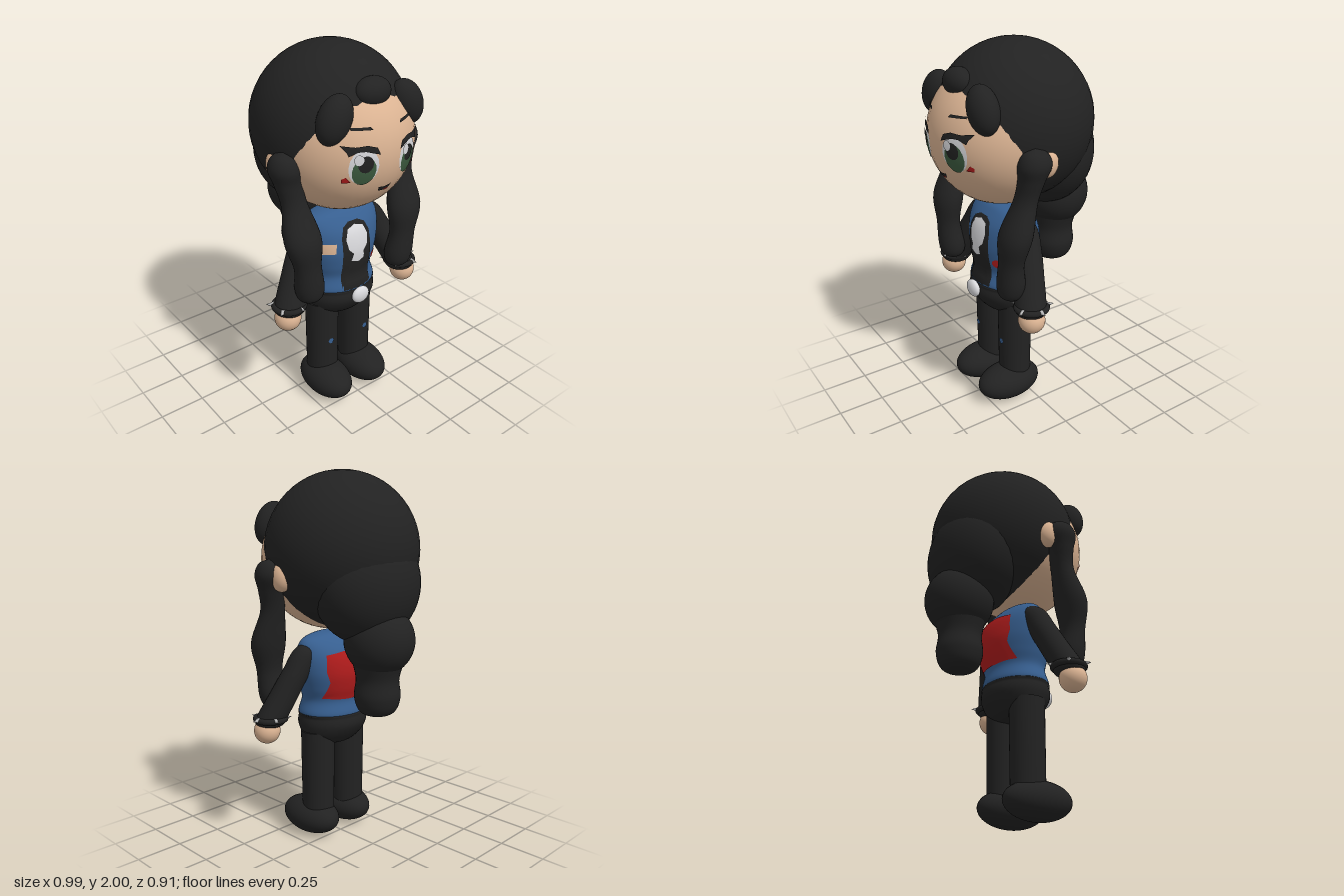
import * as THREE from 'three';

const mat = (name, color) => {
  const m = new THREE.MeshStandardMaterial({ color });
  m.name = name;
  return m;
};

export function createModel() {
  const black = mat('black', 0x222222), skin = mat('skin', 0xddb594), denim = mat('denim blue', 0x375f90);
  const red = mat('red', 0xb01c1c), green = mat('eye green', 0x3d5c40), white = mat('white', 0xd9d9dc);
  const steel = mat('steel', 0xb8b8b8);

  const model = new THREE.Group();
  model.name = 'figure';
  const body = new THREE.Group();
  body.name = 'body';
  body.position.x = -0.01;
  model.add(body);

  const add = (name, geo, material, pos = [0, 0, 0]) => {
    const m = new THREE.Mesh(geo, material);
    m.name = name;
    m.position.set(...pos);
    body.add(m);
    return m;
  };
  const ball = (name, material, pos, rx, ry = rx, rz = rx) => {
    const m = add(name, new THREE.SphereGeometry(1, 40, 28), material, pos);
    m.scale.set(rx, ry, rz);
    return m;
  };

  // Smooth rows [x, y, z, rx, rz], listed from bottom to top
  const smooth = (rows, steps = 40) => {
    const centre = new THREE.CatmullRomCurve3(rows.map(r => new THREE.Vector3(r[0], r[1], r[2])), false, 'catmullrom');
    const size = new THREE.CatmullRomCurve3(rows.map(r => new THREE.Vector3(r[3], r[4], 0)), false, 'catmullrom');
    return Array.from({ length: steps + 1 }, (_, i) => {
      const c = centre.getPoint(i / steps), s = size.getPoint(i / steps);
      return [c.x, c.y, c.z, Math.max(s.x, 0.001), Math.max(s.y, 0.001)];
    });
  };
  // Skin a stack of elliptical sections
  const loft = (rows, n = 32) => {
    const pos = [], idx = [];
    rows.forEach(([x, y, z, rx, rz], i) => {
      for (let j = 0; j < n; j++) {
        const a = (j / n) * Math.PI * 2;
        pos.push(x + rx * Math.cos(a), y, z + rz * Math.sin(a));
        if (i === rows.length - 1) continue;
        const p = i * n + j, q = i * n + ((j + 1) % n);
        idx.push(p, p + n, q, q, p + n, q + n);
      }
    });
    const g = new THREE.BufferGeometry();
    g.setAttribute('position', new THREE.Float32BufferAttribute(pos, 3));
    g.setIndex(idx);
    g.computeVertexNormals();
    return g;
  };

  // Thin painted patch: an outline filled in rings and laid on a surface z(x, y)
  const patch = (name, material, outline, surface, dir = 1) => {
    const edge = [];
    outline.forEach(([x, y], i) => {
      const [u, v] = outline[(i + 1) % outline.length];
      for (let k = 0; k < 4; k++) edge.push([x + (u - x) * k / 4, y + (v - y) * k / 4]);
    });
    const n = edge.length, rings = 8, pos = [], idx = [];
    const cx = edge.reduce((s, p) => s + p[0], 0) / n, cy = edge.reduce((s, p) => s + p[1], 0) / n;
    const area = edge.reduce((s, p, i) => s + p[0] * edge[(i + 1) % n][1] - edge[(i + 1) % n][0] * p[1], 0);
    const tri = (a, b, c) => (area * dir > 0 ? idx.push(a, b, c) : idx.push(a, c, b));
    for (let r = 0; r <= rings; r++) {
      edge.forEach(([x, y], j) => {
        const px = cx + (x - cx) * r / rings, py = cy + (y - cy) * r / rings;
        pos.push(px, py, surface(px, py));
        if (r === rings) return;
        const p = r * n + j, q = r * n + ((j + 1) % n);
        tri(p, p + n, q + n);
        if (r) tri(p, q + n, q);
      });
    }
    const g = new THREE.BufferGeometry();
    g.setAttribute('position', new THREE.Float32BufferAttribute(pos, 3));
    g.setIndex(idx);
    g.computeVertexNormals();
    add(name, g, material);
  };
  const oval = (cx, cy, rx, ry, n = 16) => Array.from({ length: n }, (_, i) => {
    const a = (i / n) * Math.PI * 2;
    return [cx + rx * Math.cos(a), cy + ry * Math.sin(a)];
  });
  const flip = (pts, s) => pts.map(([x, y]) => [x * s, y]);

  // Head and hair
  ball('face', skin, [0, 1.54, 0.08], 0.375);
  ball('hairDome', black, [0, 1.59, 0], 0.41);
  ball('hairBack', black, [0, 1.42, -0.18], 0.315, 0.31, 0.25);
  ball('ponytailTop', black, [0, 1.14, -0.27], 0.185);
  add('ponytailEnd', loft(smooth([
    [0, 0.728, -0.26, 0.001, 0.001], [0, 0.76, -0.26, 0.09, 0.09], [0, 0.84, -0.26, 0.122, 0.122],
    [0, 0.94, -0.26, 0.113, 0.115], [0, 1.05, -0.265, 0.14, 0.14], [0, 1.14, -0.27, 0.15, 0.15]])), black);
  ball('middleBang', black, [0, 1.815, 0.315], 0.1, 0.072, 0.07);
  for (const s of [-1, 1]) {
    ball('sideBang', black, [s * 0.22, 1.725, 0.315], 0.085, 0.122, 0.075).rotation.z = s * 0.45;
    ball('ear', skin, [s * 0.37, 1.465, 0.06], 0.05, 0.075, 0.06);
    add('sideLock', loft(smooth([
      [s * 0.3, 0.738, 0.22, 0.001, 0.001], [s * 0.3, 0.765, 0.22, 0.06, 0.055], [s * 0.305, 0.83, 0.222, 0.08, 0.072],
      [s * 0.32, 0.96, 0.23, 0.074, 0.062], [s * 0.336, 1.11, 0.215, 0.1, 0.078], [s * 0.345, 1.28, 0.165, 0.068, 0.058],
      [s * 0.365, 1.39, 0.145, 0.07, 0.065], [s * 0.377, 1.47, 0.135, 0.08, 0.085], [s * 0.38, 1.53, 0.135, 0.055, 0.06],
      [s * 0.38, 1.555, 0.135, 0.001, 0.001]], 54)), black);
  }

  // Face paint
  const onFace = lift => (x, y) => 0.08 + Math.sqrt(Math.max((0.375 + lift) ** 2 - x * x - (y - 1.54) ** 2, 0));
  for (const s of [-1, 1]) {
    patch('eyeWhite', white, oval(s * 0.133, 1.51, 0.07, 0.09), onFace(0.002));
    patch('iris', green, oval(s * 0.133, 1.49, 0.056, 0.072), onFace(0.004));
    patch('pupil', black, oval(s * 0.13, 1.525, 0.036, 0.042), onFace(0.006));
    patch('eyeGlint', white, oval(s * 0.133 - 0.03, 1.55, 0.022, 0.026), onFace(0.008));
    patch('upperLash', black, flip([[0.06, 1.565], [0.075, 1.6], [0.12, 1.615], [0.175, 1.612], [0.235, 1.622],
      [0.212, 1.59], [0.205, 1.57], [0.17, 1.588], [0.11, 1.588]], s), onFace(0.007));
    patch('brow', black, flip([[0.08, 1.678], [0.09, 1.692], [0.18, 1.695], [0.18, 1.684]], s), onFace(0.004));
    patch('cheekMark', red, flip([[0.185, 1.435], [0.222, 1.435], [0.225, 1.455], [0.21, 1.465]], s), onFace(0.004));
  }
  patch('mouth', black, [[-0.04, 1.385], [0, 1.378], [0.04, 1.386], [0.03, 1.365], [0.015, 1.355], [-0.03, 1.358]], onFace(0.004));
  patch('lip', red, [[0, 1.356], [0.022, 1.356], [0.024, 1.365], [0, 1.364]], onFace(0.006));

  // Vest and trousers
  const vest = smooth([
    [0, 0.69, 0.075, 0.195, 0.155], [0, 0.72, 0.075, 0.206, 0.165], [0, 0.79, 0.072, 0.188, 0.15], [0, 0.86, 0.068, 0.208, 0.165],
    [0, 0.95, 0.065, 0.232, 0.172], [0, 1.05, 0.065, 0.24, 0.15], [0, 1.12, 0.068, 0.215, 0.1], [0, 1.15, 0.07, 0.12, 0.06],
    [0, 1.155, 0.07, 0.001, 0.001]], 56);
  add('vest', loft(vest, 48), denim);
  add('hips', loft(smooth([
    [0, 0.515, 0.075, 0.001, 0.001], [0, 0.535, 0.075, 0.11, 0.085], [0, 0.58, 0.075, 0.182, 0.135],
    [0, 0.64, 0.075, 0.206, 0.17], [0, 0.69, 0.075, 0.204, 0.168], [0, 0.715, 0.075, 0.19, 0.15], [0, 0.72, 0.075, 0.001, 0.001]])), black);

  const onVest = (lift, dir = 1) => (x, y) => {
    const i = Math.max(1, vest.findIndex(r => r[1] >= y)), a = vest[i - 1], b = vest[i];
    const t = THREE.MathUtils.clamp((y - a[1]) / (b[1] - a[1]), 0, 1);
    const [z, rx, rz] = [2, 3, 4].map(k => a[k] + (b[k] - a[k]) * t);
    return z + dir * (rz * Math.sqrt(Math.max(1 - (x / rx) ** 2, 0)) + lift);
  };
  patch('shirtPanel', black, [[-0.09, 0.695], [0.095, 0.695], [0.098, 0.85], [0.09, 1.03], [0.07, 1.08], [0.03, 1.1],
    [-0.03, 1.1], [-0.07, 1.08], [-0.09, 1.03], [-0.09, 0.85]], onVest(0.004));
  patch('shirtPrint', white, [[-0.045, 0.895], [0, 0.88], [0.04, 0.895], [0.032, 0.935], [0.06, 0.965], [0.07, 1.02], [0.05, 1.07],
    [0, 1.085], [-0.05, 1.07], [-0.07, 1.02], [-0.06, 0.965], [-0.032, 0.935]], onVest(0.008));
  patch('vestPatch', skin, [[-0.19, 0.95], [-0.125, 0.95], [-0.12, 1.005], [-0.19, 1.01]], onVest(0.004));
  patch('vestBadge', red, oval(0.143, 0.863, 0.034, 0.027, 10), onVest(0.004));
  patch('backPatch', red, [[-0.165, 0.81], [-0.06, 0.8], [0.06, 0.8], [0.165, 0.81], [0.15, 0.9], [0.17, 0.96], [0.165, 1.05],
    [0.06, 1.065], [-0.06, 1.065], [-0.165, 1.05], [-0.17, 0.96], [-0.15, 0.9]], onVest(0.005, -1), -1);
  ball('beltBuckle', white, [0, 0.683, 0.265], 0.055, 0.048, 0.026);

  for (const s of [-1, 1]) {
    // Legs and shoes
    add('leg', new THREE.CylinderGeometry(0.093, 0.088, 0.5, 32), black, [s * 0.115, 0.36, 0.073]);
    ball('shoe', black, [s * 0.125, 0.102, 0.12], 0.12, 0.1, 0.188);
    const onLeg = (x, y) => 0.077 + Math.sqrt(Math.max(0.0915 ** 2 - (x - s * 0.115) ** 2, 0));
    patch('kneeTear', denim, oval(s * 0.122, 0.372, 0.018, 0.018, 6), onLeg);

    // Arms, hands and spiked bracelets
    add('arm', loft(smooth([
      [s * 0.395, 0.66, 0.158, 0.001, 0.001], [s * 0.385, 0.68, 0.155, 0.07, 0.066], [s * 0.375, 0.72, 0.15, 0.086, 0.08],
      [s * 0.31, 0.85, 0.115, 0.084, 0.076], [s * 0.25, 0.97, 0.085, 0.08, 0.072], [s * 0.205, 1.07, 0.068, 0.066, 0.06],
      [s * 0.19, 1.12, 0.062, 0.001, 0.001]])), black);
    ball('hand', skin, [s * 0.402, 0.65, 0.16], 0.07);
    const band = add('bracelet', new THREE.TorusGeometry(0.078, 0.016, 12, 36), black, [s * 0.385, 0.715, 0.15]);
    band.rotation.x = Math.PI / 2;
    for (let k = 0; k < 5; k++) {
      const a = (k / 5) * Math.PI * 2;
      const spike = add('spike', new THREE.ConeGeometry(0.014, 0.04, 12), steel,
        [s * 0.39 + 0.095 * Math.cos(a), 0.72, 0.148 + 0.095 * Math.sin(a)]);
      spike.rotation.set(0, -a, -Math.PI / 2);
    }
  }
  return model;
}
